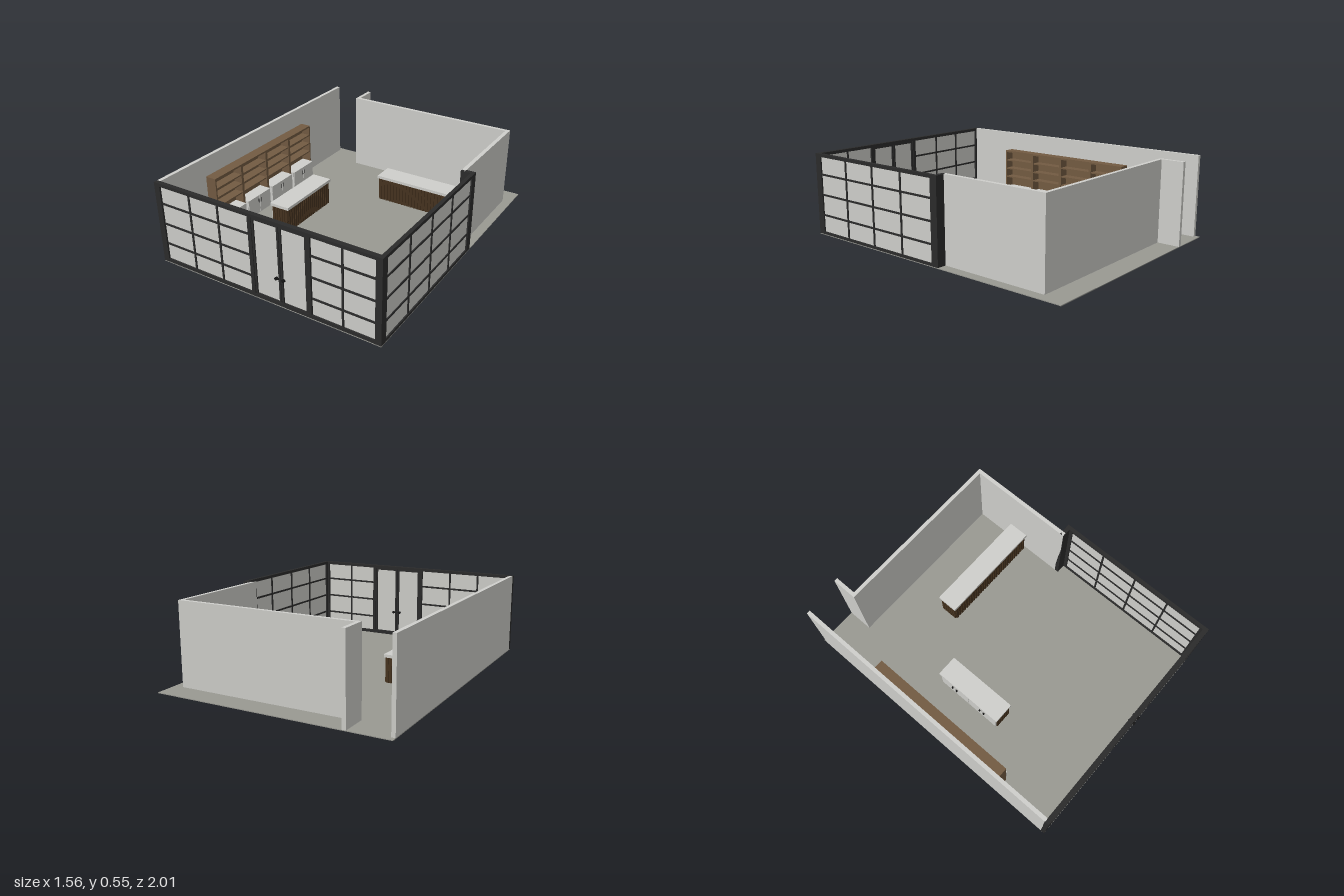
import * as THREE from 'three';

const mat = (name, color) => {
  const m = new THREE.MeshStandardMaterial({ color });
  m.name = name;
  return m;
};

export function createModel() {
  const model = new THREE.Group();
  model.name = 'shopInterior';

  const white = mat('offWhite', 0xcfcfcb);
  const floorGrey = mat('floorGrey', 0x999992);
  const frame = mat('darkFrame', 0x2b2b2b);
  const wood = mat('brownWood', 0x735b42);
  const slatWood = mat('darkSlats', 0x46331f);
  const black = mat('blackHandles', 0x151515);

  const group = (name, parent = model) => {
    const g = new THREE.Group();
    g.name = name;
    parent.add(g);
    return g;
  };
  // Box given by its minimum and maximum on each axis
  const box = (parent, name, m, x0, x1, y0, y1, z0, z1) => {
    const mesh = new THREE.Mesh(new THREE.BoxGeometry(x1 - x0, y1 - y0, z1 - z0), m);
    mesh.position.set((x0 + x1) / 2, (y0 + y1) / 2, (z0 + z1) / 2);
    mesh.name = name;
    parent.add(mesh);
    return mesh;
  };

  const F = 0.005, H = 0.55;
  box(model, 'floor', floorGrey, -0.78, 0.78, 0, F, -1, 1);

  // Solid walls
  const walls = group('walls');
  box(walls, 'leftWall', white, -0.78, -0.755, F, H, -0.97, 0.972);
  box(walls, 'backWall', white, -0.51, 0.718, F, H, -0.85, -0.825);
  box(walls, 'backStubWall', white, -0.51, -0.485, F, H, -1, -0.85);
  box(walls, 'rightWall', white, 0.692, 0.718, F, H, -0.825, -0.1);

  // A glazed wall runs along u, at 'at' on the other axis, either along x or z
  const bar = (parent, name, m, alongX, at, u0, u1, y0, y1, depth) => {
    const a = at - depth / 2, b = at + depth / 2;
    return alongX
      ? box(parent, name, m, u0, u1, y0, y1, a, b)
      : box(parent, name, m, a, b, y0, y1, u0, u1);
  };
  const glazing = (parent, alongX, at, u0, u1, mullions) => {
    bar(parent, 'pane', white, alongX, at, u0, u1, 0.02, 0.54, 0.006);
    for (const u of mullions)
      bar(parent, 'mullion', frame, alongX, at, u - 0.006, u + 0.006, 0.02, 0.535, 0.018);
    for (const y of [0.137, 0.275, 0.412])
      bar(parent, 'crossBar', frame, alongX, at, u0, u1, y - 0.006, y + 0.006, 0.018);
  };

  // Front facade with double door
  const front = group('frontFacade');
  const fz = 0.985;
  bar(front, 'topRail', frame, true, fz, -0.78, 0.78, 0.53, H, 0.03);
  bar(front, 'bottomRail', frame, true, fz, -0.78, 0.78, F, 0.027, 0.028);
  for (const [a, b] of [[-0.78, -0.74], [-0.08, -0.055], [0.315, 0.338], [0.74, 0.78]])
    bar(front, 'post', frame, true, fz, a, b, F, H, 0.03);
  glazing(front, true, fz, -0.74, -0.08, [-0.517, -0.302]);
  glazing(front, true, fz, 0.338, 0.74, [0.537]);
  for (const [a, b, knob] of [[-0.054, 0.129, 0.105], [0.133, 0.314, 0.155]]) {
    const door = group('door', front);
    bar(door, 'doorPane', white, true, fz, a, b, 0.02, 0.53, 0.006);
    bar(door, 'doorStile', frame, true, fz, a, a + 0.013, F, 0.53, 0.022);
    bar(door, 'doorStile', frame, true, fz, b - 0.013, b, F, 0.53, 0.022);
    bar(door, 'doorTop', frame, true, fz, a, b, 0.517, 0.532, 0.022);
    bar(door, 'doorBottom', frame, true, fz, a, b, F, 0.032, 0.022);
    const k = knob < 0.13 ? 0.12 : 0.142;
    for (const s of [-1, 1]) {
      const stem = new THREE.Mesh(new THREE.CylinderGeometry(0.009, 0.009, 0.014, 12), black);
      stem.rotation.x = Math.PI / 2;
      stem.position.set(knob, 0.19, fz + s * 0.018);
      stem.name = 'doorKnob';
      door.add(stem);
      box(door, 'doorLever', black, Math.min(knob, k), Math.max(knob, k), 0.186, 0.194,
        fz + s * 0.018 - 0.004, fz + s * 0.018 + 0.004);
    }
  }

  // Right facade and its short return to the wall
  const side = group('rightFacade');
  const sx = 0.768;
  bar(side, 'topRail', frame, false, sx, -0.12, 0.97, 0.53, H, 0.024);
  bar(side, 'bottomRail', frame, false, sx, -0.12, 0.97, F, 0.022, 0.024);
  bar(side, 'cornerPost', frame, false, sx, 0.95, 1, F, H, 0.024);
  bar(side, 'rearPost', frame, false, sx, -0.125, -0.073, F, H, 0.024);
  glazing(side, false, sx, -0.073, 0.95, [0.185, 0.442, 0.697]);
  box(side, 'facadeReturn', frame, 0.692, 0.757, F, H, -0.125, -0.097);

  // Wall shelving: four bays of wooden shelves above white cabinets
  const shelving = group('wallShelving');
  const z0 = -0.445, bay = 0.26, top = 0.42, base = 0.14;
  box(shelving, 'shelfBack', wood, -0.755, -0.748, F, top, z0, z0 + 4 * bay);
  box(shelving, 'shelfTop', wood, -0.755, -0.68, top - 0.012, top, z0, z0 + 4 * bay);
  for (let i = 0; i < 4; i++) {
    const a = z0 + i * bay, b = a + bay, mid = (a + b) / 2;
    for (const z of [a, b - 0.01])
      box(shelving, 'shelfSide', wood, -0.748, -0.68, F, top - 0.012, z, z + 0.01);
    for (const y of [0.21, 0.275, 0.34])
      box(shelving, 'shelf', wood, -0.748, -0.682, y, y + 0.009, a + 0.01, b - 0.01);
    box(shelving, 'cabinet', white, -0.747, -0.66, F, base, a + 0.012, b - 0.012);
    for (const s of [-1, 1]) {
      const c = mid + s * 0.059;
      box(shelving, 'cabinetDoor', white, -0.66, -0.655, 0.012, base, c - 0.057, c + 0.057);
      box(shelving, 'cabinetHandle', black, -0.655, -0.652, 0.085, 0.115,
        mid + s * 0.012 - 0.002, mid + s * 0.012 + 0.002);
    }
  }

  // Counter built along local x with slats facing +z and cabinet doors facing -z
  const counter = (name, length, depth, x, z, turn, doors) => {
    const g = group(name);
    const l = length / 2, d = depth / 2, h = 0.188, u = 0.168;
    box(g, 'counterTop', white, -l, l, u, h, -d, d);
    box(g, 'counterBody', slatWood, -l + 0.01, l - 0.01, F, u, -d + 0.012, d - 0.01);
    const n = Math.round(length / 0.025), m = Math.round(depth / 0.025);
    for (let i = 0; i < n; i++) {
      const c = -l + 0.012 + (i + 0.5) * (length - 0.024) / n;
      box(g, 'frontSlat', slatWood, c - 0.008, c + 0.008, F, u, d - 0.01, d - 0.004);
    }
    for (let i = 0; i < m; i++) {
      const c = -d + 0.012 + (i + 0.5) * (depth - 0.024) / m;
      for (const s of [-1, 1])
        box(g, 'endSlat', slatWood, s * (l - 0.007) - 0.003, s * (l - 0.007) + 0.003, F, u, c - 0.008, c + 0.008);
    }
    const w = (length - 0.02) / doors;
    for (let i = 0; i < doors; i++) {
      const a = -l + 0.01 + i * w;
      box(g, 'counterDoor', white, a + 0.002, a + w - 0.002, 0.012, u, -d + 0.004, -d + 0.012);
      const hx = i % 2 ? a + 0.018 : a + w - 0.018;
      box(g, 'counterHandle', black, hx - 0.003, hx + 0.003, 0.09, 0.125, -d - 0.005, -d + 0.004);
    }
    g.position.set(x, 0, z);
    g.rotation.y = turn;
  };
  counter('sideCounter', 0.5, 0.145, -0.393, 0.075, Math.PI / 2, 4);
  counter('rearCounter', 0.755, 0.145, 0.313, -0.473, 0, 6);

  return model;
}
